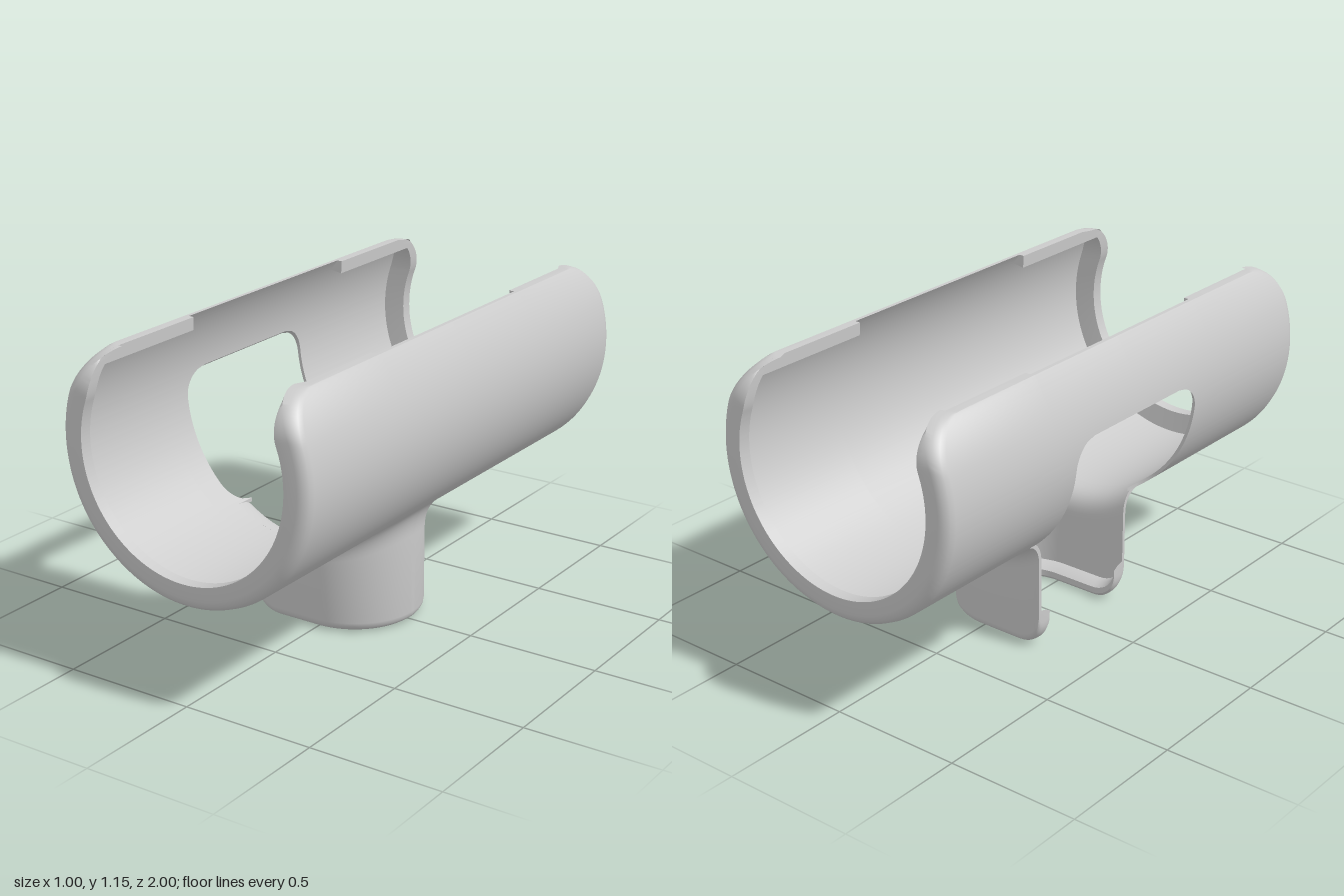
import * as THREE from 'three';
import { toCreasedNormals } from 'three/addons/utils/BufferGeometryUtils.js';

const CY = 0.855, RO = 0.5, RI = 0.488;     // sleeve axis height, outer and inner radius of its thin wall
const RIM = 0.41, LIP = 0.3;                // inner radius of the end rims, lip height above the axis
const HX = 0.31, HZ = 0.345;                // half sizes of the opening above the spout
const FRONT = -0.27;                        // open end of the spout
const BEND = 0.35;                          // x where sections stop being upright
const TOP = 0.966, RIB = 1.28, END = 1.35;  // stations of window top, lip rib and lip
const lerp = THREE.MathUtils.lerp;
const span = (a, b, n) => Array.from({ length: n + 1 }, (_, i) => lerp(a, b, i / n));
const yIn = x => CY - Math.sqrt(RI * RI - x * x);
const yOut = x => CY - Math.sqrt(RO * RO - x * x);
const arc = (r, d) => Math.sqrt(Math.max(0, r * r - d * d));

// Skins closed rings of [x, y, z], caps the chosen ends and mirrors everything across z = 0
function loftMirrored(rings, capStart, capEnd) {
  const pos = [];
  const tri = (a, b, c) => {
    pos.push(...a, ...b, ...c);
    for (const p of [a, c, b]) pos.push(p[0], p[1], -p[2]);
  };
  const quad = (a, b, c, d) => { tri(a, b, c); tri(a, c, d); };
  const n = rings[0].length;
  for (let i = 0; i + 1 < rings.length; i++) {
    for (let j = 0; j < n; j++) {
      const k = (j + 1) % n;
      quad(rings[i][j], rings[i][k], rings[i + 1][k], rings[i + 1][j]);
    }
  }
  const first = rings[0], last = rings[rings.length - 1];
  for (let j = 0; j < n / 2 - 1; j++) {
    const m = n - 1 - j;
    if (capStart) quad(first[j + 1], first[j], first[m], first[m - 1]);
    if (capEnd) quad(last[j], last[j + 1], last[m - 1], last[m]);
  }
  const g = new THREE.BufferGeometry();
  g.setAttribute('position', new THREE.Float32BufferAttribute(pos, 3));
  return toCreasedNormals(g, 0.6);
}

// One section of the sleeve: p is x near the bottom, then runs on up the wall; zh is the opening's half width
function sleeveRing(p, zh, ribbed = false) {
  const side = Math.sign(p), t = Math.abs(p);
  const k = Math.max(0, t - BEND), x = Math.min(t, BEND);
  const zEnd = y => (y > 1.005 ? 0.85 + arc(0.15, Math.min(0.15, y - 1.005)) : 1);
  const polar = (r, a) => [side * r * Math.sin(a), CY - r * Math.cos(a)];
  const onWall = r => polar(r, lerp(Math.asin(x / r), Math.acos(-LIP / r), k));

  // the rim thickens towards the lip
  const a = lerp(Math.asin(x / RIM), 2.259, k);
  const rim = polar(RIM + 0.062 * Math.pow(Math.max(0, (a - 1.93) / 0.329), 1.8), a);
  const thin = onWall(RI), body = ribbed ? rim : thin;
  const zRim = zEnd(rim[1]), zBody = zEnd(body[1]);
  const ring = [
    [...thin, zh], [...thin, 0.45], [...body, 0.45], [...body, zBody - 0.06],
    [...rim, zRim - 0.045], [...rim, zRim],
  ];

  // rounded outer end, then back along the outer wall
  const outer = onWall(RO), zOut = zEnd(outer[1]), e = 0.04;
  for (const b of span(Math.PI / 2, 0, 3)) {
    ring.push([...onWall(RO - e * (1 - Math.cos(b))), zOut - e * (1 - Math.sin(b))]);
  }
  ring.push([...outer, 0.45], [...outer, zh]);
  return ring;
}

// Half width of the side window, with rounded upper and lower corners
function windowHalfWidth(t) {
  const corner = TOP - 0.14;
  if (t < 0.35) return 0.265 + arc(0.08, t - 0.35);
  if (t > corner) return HZ - 0.1 + 0.1 * arc(1, (t - corner) / 0.14);
  return HZ;
}

function makeSleeve() {
  const rings = [];
  const lip = span(0, 1, 14).map(w => END - (END - RIB) * w * w);
  for (const p of lip) rings.push(sleeveRing(-p, 0, true));
  for (const p of span(-RIB, -TOP, 20)) rings.push(sleeveRing(p, 0));
  for (const p of span(-TOP, FRONT, 60)) rings.push(sleeveRing(p, windowHalfWidth(-p)));
  for (const p of span(FRONT, 0, 16)) rings.push(sleeveRing(p, HZ));
  for (const a of span(0, Math.PI / 2, 24)) rings.push(sleeveRing(HX * Math.sin(a), HZ * Math.cos(a)));
  for (const p of span(HX, RIB, 56)) rings.push(sleeveRing(p, 0));
  for (const p of lip.reverse()) rings.push(sleeveRing(p, 0, true));
  return loftMirrored(rings, true, true);
}

// One section of the spout wall; at(d) gives the plan position at distance d, skirt is its flared top edge
function spoutRing(at, skirt) {
  const wall = (d, surface, drop, foot) => {
    const [x, z] = at(d);
    const y0 = surface(x);
    const flare = new THREE.QuadraticBezierCurve3(
      new THREE.Vector3(skirt[0], surface(skirt[0]), skirt[1]),
      new THREE.Vector3(x, y0, z),
      new THREE.Vector3(x, y0 - drop, z));
    const pts = flare.getPoints(10).map(v => v.toArray());
    // foot profile, lifted by the rounded front corner
    for (const [fd, fy] of foot) {
      const [fx, fz] = at(fd);
      const lift = fx < -0.17 ? 0.1 - arc(0.1, fx + 0.17) : 0;
      pts.push([fx, lift + fy, fz]);
    }
    return pts;
  };
  const outerFoot = span(0, Math.PI / 2, 4).map(b =>
    [0.255 - 0.035 * (1 - Math.cos(b)), 0.035 * (1 - Math.sin(b))]);
  const innerFoot = [[0.242, 0.055], [0.215, 0.048], [0.193, 0.035], [0.193, 0.012], [0.204, 0]];
  return [...wall(0.255, yOut, 0.09, outerFoot), ...wall(0.242, yIn, 0.1, innerFoot).reverse()];
}

function makeSpout() {
  const rings = [];
  const corner = span(Math.PI / 2, 0, 10).map(b => -0.17 - 0.1 * Math.sin(b));
  for (const x of [...corner, ...span(-0.17, 0, 6).slice(1)]) rings.push(spoutRing(d => [x, d], [x, HZ]));
  for (const a of span(0, Math.PI / 2, 24).slice(1)) {
    const s = Math.sin(a), c = Math.cos(a);
    rings.push(spoutRing(d => [d * s, d * c], [HX * s, HZ * c]));
  }
  return loftMirrored(rings, true, false);
}

export function createModel() {
  const group = new THREE.Group();
  group.name = 'clipOnSleeve';
  const material = new THREE.MeshStandardMaterial({ color: 0xcccccc });
  const add = (name, geometry) => {
    const mesh = new THREE.Mesh(geometry, material);
    mesh.name = name;
    group.add(mesh);
  };
  add('sleeve', makeSleeve());
  add('spout', makeSpout());
  return group;
}
